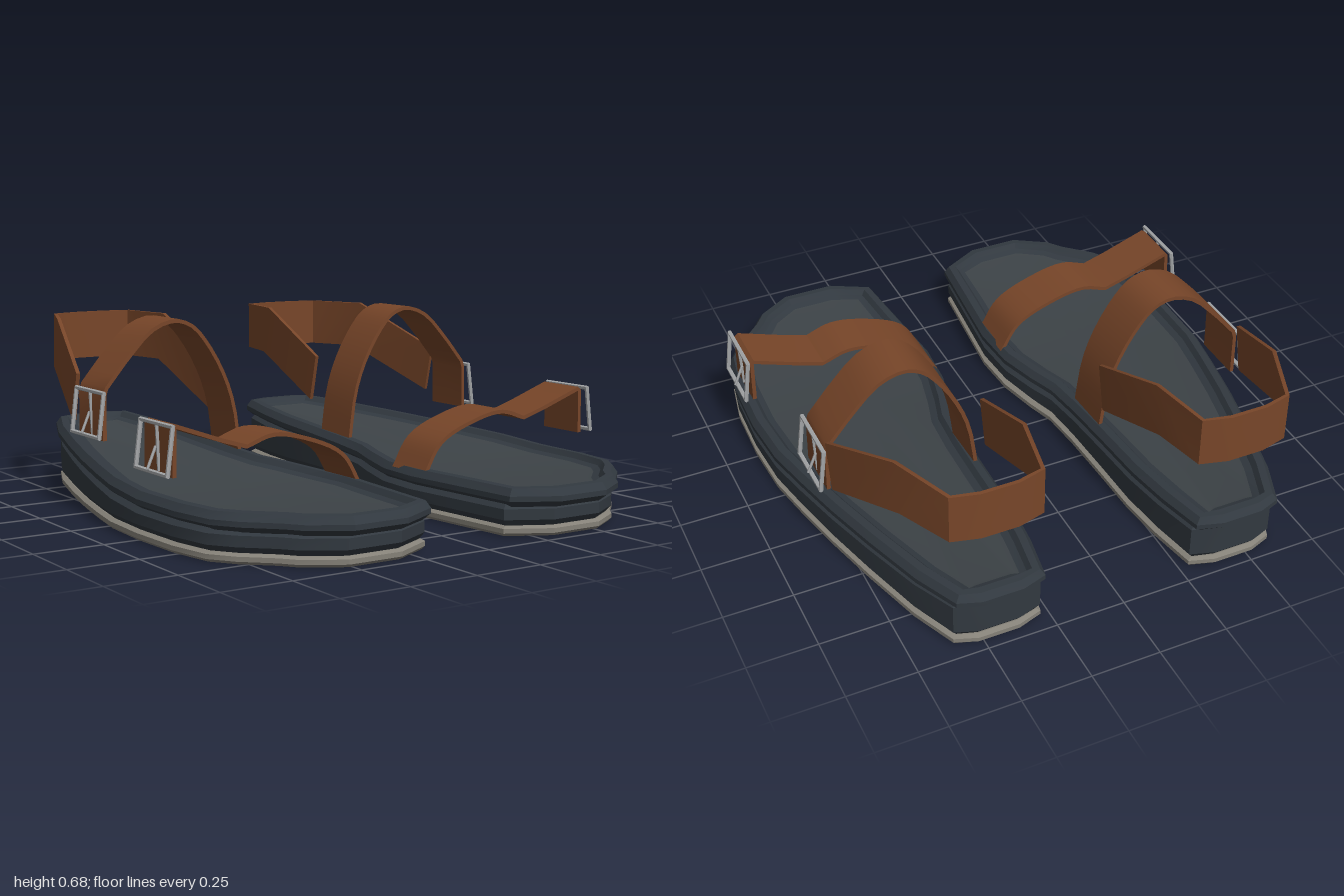
import * as THREE from 'three';
import { toCreasedNormals } from 'three/addons/utils/BufferGeometryUtils.js';

const mat = (name, color, side = THREE.FrontSide) => {
  const m = new THREE.MeshStandardMaterial({ color, side });
  m.name = name;
  return m;
};
const V = (x, y, z) => new THREE.Vector3(x, y, z);

// Outline of the left sole as [x, z], from the heel along the outer side to the toe and back
const outline = [
  [0.373, -1], [0.52, -1], [0.60, -0.97], [0.67, -0.8], [0.74, -0.556], [0.795, -0.34],
  [0.84, -0.13], [0.872, 0.04], [0.884, 0.26], [0.876, 0.5], [0.845, 0.67], [0.786, 0.757],
  [0.69, 0.85], [0.645, 0.91], [0.516, 0.99], [0.315, 0.99], [0.163, 0.905], [0.14, 0.66],
  [0.118, 0.42], [0.13, 0.24], [0.167, 0.08], [0.2, -0.03], [0.214, -0.19], [0.223, -0.4],
  [0.23, -0.61], [0.25, -0.79], [0.283, -0.97],
];
const N = outline.length;

// The bed rises from the ball of the foot to the heel
const rise = z => Math.max(0, 0.25 - z) * 0.063;

// One ring of the sole, moved inwards and set at a height
function ring([inset, y, slope = 0, zScale = 1]) {
  return outline.map(([x, z], i) => {
    const a = outline[(i + N - 1) % N], b = outline[(i + 1) % N];
    const tx = b[0] - a[0], tz = b[1] - a[1], len = Math.hypot(tx, tz);
    const px = x - tz / len * inset, pz = (z + tx / len * inset) * zScale;
    return V(px, y + slope * rise(pz), pz);
  });
}

function fromTriangles(points) {
  const g = new THREE.BufferGeometry().setFromPoints(points);
  g.computeVertexNormals();
  return g;
}

// Stack of rings, with optional end caps
function layered(specs, capBottom, capTop) {
  const rings = specs.map(ring), tris = [];
  const centre = ([, y]) => V(0.48, y, 0.25);
  for (let i = 0; i < N; i++) {
    const j = (i + 1) % N;
    for (let k = 0; k + 1 < rings.length; k++) {
      const [a, b, c, d] = [rings[k][i], rings[k][j], rings[k + 1][j], rings[k + 1][i]];
      tris.push(a, c, b, a, d, c);
    }
    if (capBottom) tris.push(centre(specs[0]), rings[0][i], rings[0][j]);
    const top = rings[rings.length - 1];
    if (capTop) tris.push(centre(specs[specs.length - 1]), top[j], top[i]);
  }
  return fromTriangles(tris);
}

// Strap with thickness running through pairs of edge points
function ribbon(pairs, t = 0.014) {
  const loops = pairs.map(([a, b], i) => {
    const p = pairs[Math.max(0, i - 1)], q = pairs[Math.min(pairs.length - 1, i + 1)];
    const along = q[0].clone().add(q[1]).sub(p[0]).sub(p[1]);
    const n = along.cross(b.clone().sub(a)).normalize().multiplyScalar(t / 2);
    return [a.clone().add(n), b.clone().add(n), b.clone().sub(n), a.clone().sub(n)];
  });
  const tris = [];
  const quad = (a, b, c, d) => tris.push(a, b, c, a, c, d);
  for (let i = 0; i + 1 < loops.length; i++)
    for (let k = 0; k < 4; k++) {
      const m = (k + 1) % 4;
      quad(loops[i][k], loops[i + 1][k], loops[i + 1][m], loops[i][m]);
    }
  quad(...loops[0]);
  quad(...loops[loops.length - 1].slice().reverse());
  return fromTriangles(tris);
}

// Strap over the foot: smooth arch as [x, y], then straight end points
function archStrap(arch, end, z0, z1) {
  const curve = new THREE.CatmullRomCurve3(arch.map(([x, y]) => V(x, y, 0)));
  const path = [...curve.getPoints(20), ...end.map(([x, y]) => V(x, y, 0))];
  return ribbon(path.map(p => [V(p.x, p.y, z0), V(p.x, p.y, z1)]));
}

function rod(a, b, r) {
  const d = b.clone().sub(a);
  const g = new THREE.CylinderGeometry(r, r, d.length() + r, 6);
  g.applyQuaternion(new THREE.Quaternion().setFromUnitVectors(V(0, 1, 0), d.normalize()));
  return g.translate((a.x + b.x) / 2, (a.y + b.y) / 2, (a.z + b.z) / 2);
}

export function createModel() {
  const model = new THREE.Group();
  model.name = 'sandals';
  const mats = {
    insole: mat('insole slate', 0x3d4347),
    sole: mat('sole slate', 0x323940),
    outsole: mat('outsole grey', 0x858178),
    leather: mat('brown leather', 0x784629, THREE.DoubleSide),
    metal: mat('buckle metal', 0xa6a8aa),
  };

  for (const side of [1, -1]) {
    const sandal = new THREE.Group();
    sandal.name = side > 0 ? 'leftSandal' : 'rightSandal';
    model.add(sandal);

    // Mirrors the geometry for the right foot and keeps corners facing outwards
    const add = (name, geo, material, parent = sandal) => {
      let g = geo.index ? geo.toNonIndexed() : geo;
      if (side < 0) {
        const p = g.attributes.position, src = p.array.slice();
        for (let i = 0; i < p.count; i++) {
          const s = (i - i % 3 + (3 - i % 3) % 3) * 3;
          p.setXYZ(i, -src[s], src[s + 1], src[s + 2]);
        }
      }
      g.computeVertexNormals();
      g = toCreasedNormals(g, 0.45);
      const mesh = new THREE.Mesh(g, material);
      mesh.name = name;
      parent.add(mesh);
    };

    // Sole layers
    add('outsole', layered([[0.01, 0, 0, 0.967], [0, 0.01, 0, 0.967], [0, 0.026, 0, 0.967],
      [0.015, 0.034, 0, 0.967]], true, true), mats.outsole);
    add('midsole', layered([[0.02, 0.034, 0, 0.967], [0.002, 0.055, 0, 0.967],
      [0.002, 0.092, 1, 0.967], [0.02, 0.112, 1, 0.967]], true, true), mats.sole);
    add('footbedRim', layered([[0.03, 0.1, 1], [0, 0.122, 1], [0, 0.14, 1], [0.018, 0.165, 1],
      [0.045, 0.167, 1], [0.06, 0.148, 1], [0.085, 0.14, 1]], true, false), mats.sole);
    add('insole', layered([[0.085, 0.14, 1], [0.1, 0.138, 1]], false, true), mats.insole);

    // Straps over the toes and the instep, each ending in a hanging flap
    add('toeStrap', archStrap(
      [[0.14, 0.15], [0.21, 0.257], [0.356, 0.324], [0.487, 0.347], [0.588, 0.317]],
      [[0.68, 0.345], [0.85, 0.405], [0.856, 0.4], [0.858, 0.24]], 0.285, 0.473), mats.leather);
    add('instepStrap', archStrap(
      [[0.245, 0.17], [0.272, 0.36], [0.315, 0.48], [0.38, 0.59], [0.44, 0.655], [0.51, 0.678],
        [0.6, 0.65], [0.695, 0.56], [0.785, 0.455]],
      [[0.793, 0.43], [0.795, 0.27]], -0.335, -0.145), mats.leather);

    // Heel strap: x, then z and y of the upper and lower edge
    const heel = [
      [0.795, -0.35, 0.487, -0.39, 0.315], [0.695, -0.72, 0.652, -0.76, 0.47],
      [0.605, -0.945, 0.652, -0.945, 0.47], [0.51, -0.968, 0.652, -0.968, 0.47],
      [0.38, -0.968, 0.652, -0.968, 0.47], [0.287, -0.945, 0.652, -0.945, 0.47],
      [0.245, -0.72, 0.652, -0.76, 0.47], [0.23, -0.35, 0.487, -0.39, 0.315],
    ];
    add('heelStrap', ribbon(heel.map(([x, z, y, zb, yb]) => [V(x, y, z), V(x, yb, zb)])), mats.leather);

    // Buckles: leaning frame, middle bar and prong
    for (const [name, x, y, z] of [['toeBuckle', 0.872, 0.33, 0.385], ['instepBuckle', 0.805, 0.362, -0.235]]) {
      const buckle = new THREE.Group();
      buckle.name = name;
      sandal.add(buckle);
      const at = (u, v) => V(x + 0.011 - v * 0.13, y + v, z + u);
      const corners = [at(-0.108, -0.078), at(0.108, -0.078), at(0.108, 0.078), at(-0.108, 0.078)];
      corners.forEach((c, i) => add('frameBar', rod(c, corners[(i + 1) % 4], 0.008), mats.metal, buckle));
      add('middleBar', rod(V(x - 0.006, y - 0.075, z), at(0, 0.078), 0.006), mats.metal, buckle);
      add('prong', rod(V(x, y, z - 0.01), V(x + 0.03, y - 0.07, z - 0.01), 0.005), mats.metal, buckle);
    }
  }
  return model;
}
